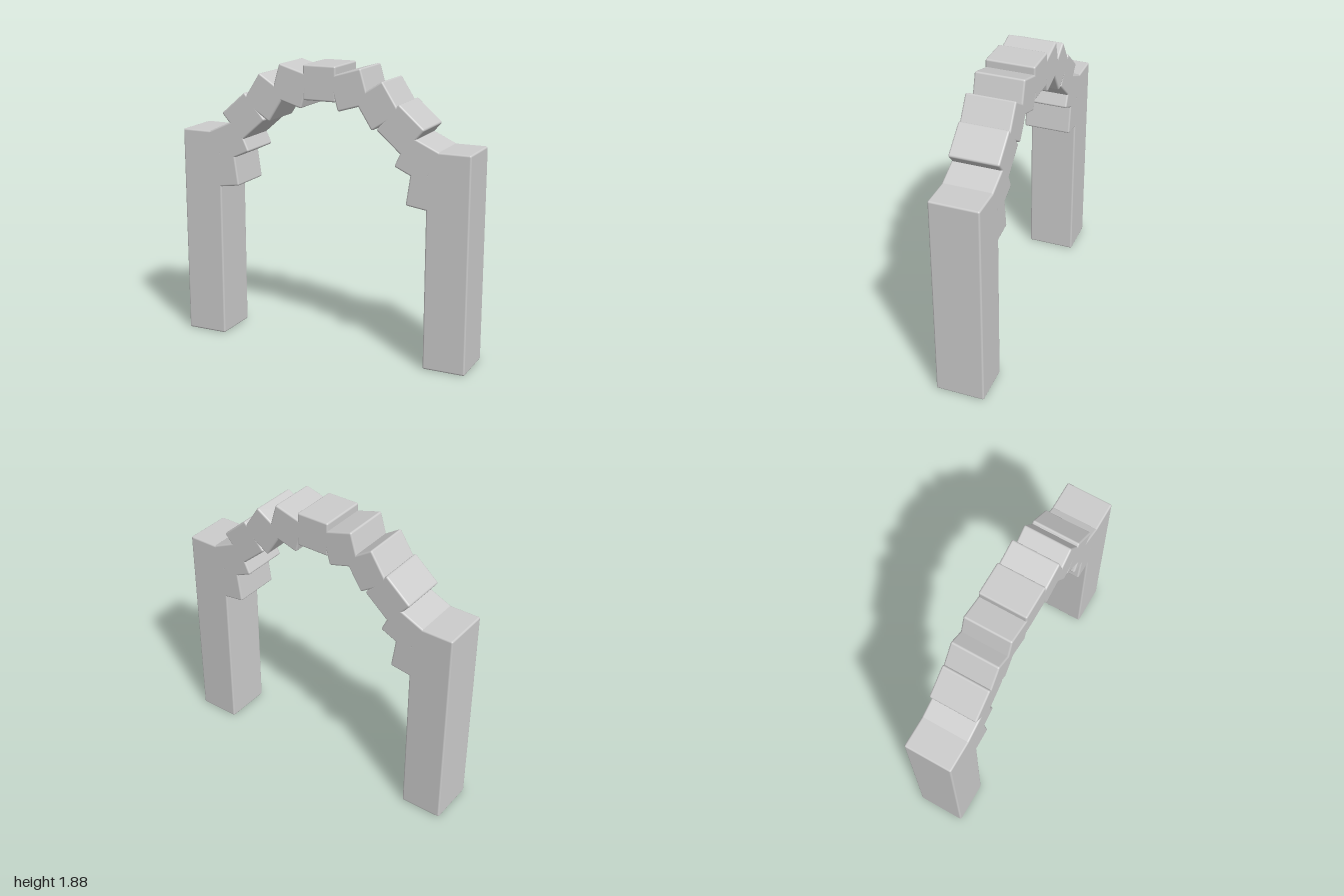
import * as THREE from 'three';
import { RoundedBoxGeometry } from 'three/addons/geometries/RoundedBoxGeometry.js';

const DEPTH = 0.32;
const BEVEL = 0.012;
const material = new THREE.MeshStandardMaterial({ color: 0xcccccc });

function block(name, width, height, x, y, turn = 0) {
  const mesh = new THREE.Mesh(new RoundedBoxGeometry(width, height, DEPTH, 2, BEVEL), material);
  mesh.name = name;
  mesh.position.set(x, y, 0);
  mesh.rotation.z = turn;
  return mesh;
}

export function createModel() {
  const model = new THREE.Group();
  model.name = 'stoneArch';

  // Two upright pillars
  model.add(block('leftPillar', 0.28, 1.4, 0.86, 0.7));
  model.add(block('rightPillar', 0.28, 1.4, -0.86, 0.7));

  // Half ring of eleven square stones, each turned against the curve for a rugged outline
  const ring = new THREE.Group();
  ring.name = 'archStones';
  const radius = 0.72, springY = 1.043, size = 0.224, step = Math.PI / 11;
  for (let i = -5; i <= 5; i++) {
    const a = i * step;
    const name = i === 0 ? 'keystone' : (i > 0 ? 'leftStone' : 'rightStone') + Math.abs(i);
    ring.add(block(name, size, size, radius * Math.sin(a), springY + radius * Math.cos(a), a));
  }
  model.add(ring);

  return model;
}
